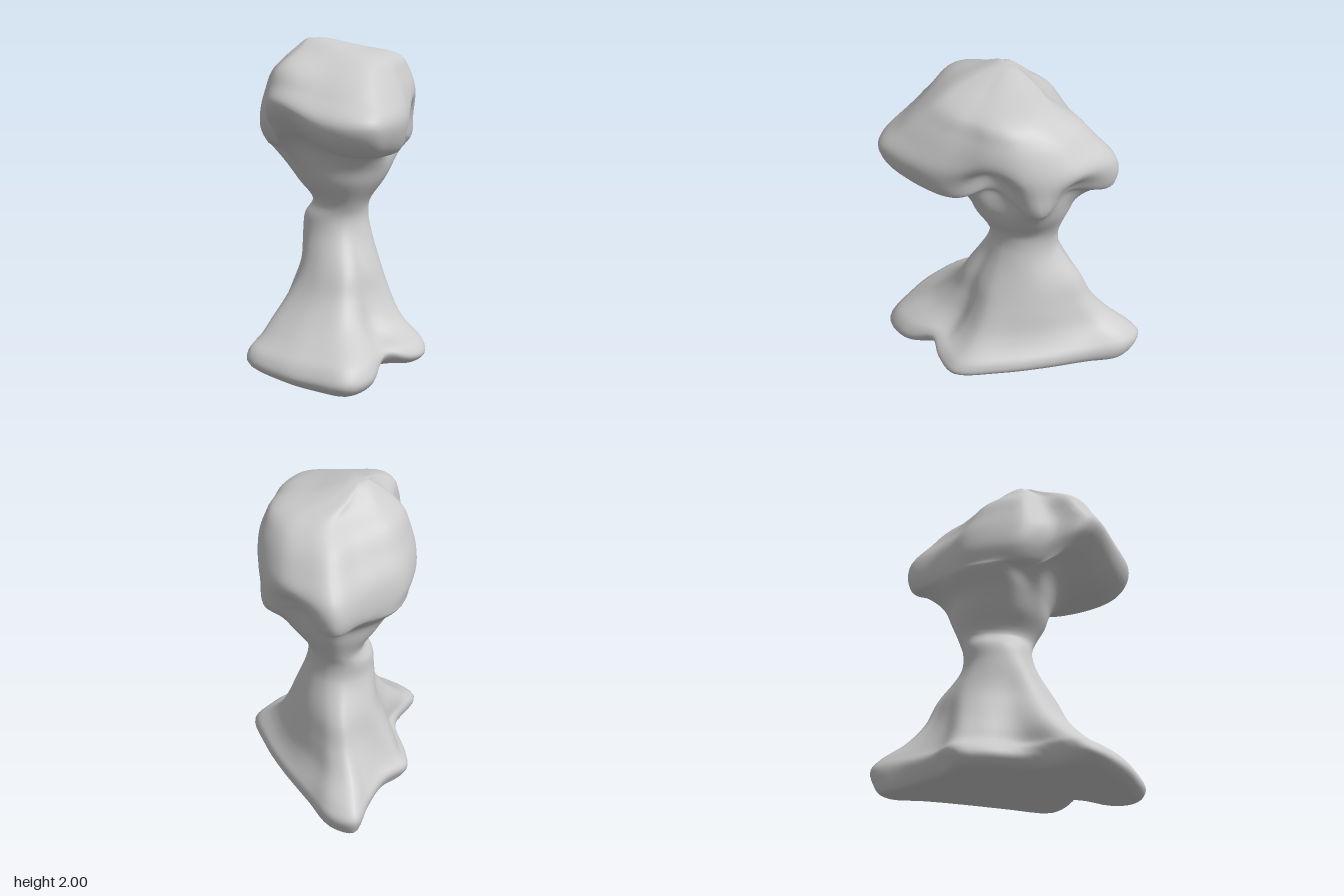
import * as THREE from 'three';

// Outlines as [x, z], starting at the front (+z) and turning towards +x
const FOOT = [
  [0.02, 0.80], [0.17, 0.70], [0.27, 0.48], [0.40, 0.42], [0.53, 0.30], [0.50, 0.02],
  [0.42, -0.25], [0.30, -0.53], [0.20, -0.74], [0.05, -0.81], [-0.07, -0.62], [-0.19, -0.46],
  [-0.35, -0.36], [-0.37, -0.21], [-0.36, 0.08], [-0.54, 0.36], [-0.36, 0.60], [-0.18, 0.72],
];
const CAP = [
  [0.02, 0.75], [0.18, 0.76], [0.28, 0.66], [0.38, 0.48], [0.44, 0.28], [0.51, 0.06],
  [0.52, -0.15], [0.43, -0.42], [0.31, -0.54], [0.15, -0.63], [-0.02, -0.49], [-0.15, -0.40],
  [-0.29, -0.31], [-0.39, -0.12], [-0.42, 0.02], [-0.36, 0.22], [-0.39, 0.41], [-0.20, 0.61],
];
// The neck is round, with its points in between the directions of the others
const NECK = FOOT.map(([x, z], i) => {
  const a = Math.atan2(x + CAP[i][0], z + CAP[i][1]);
  return [Math.sin(a), Math.cos(a)];
});

// Levels: height, x min, x max, z min, z max, outline (0 foot, 1 neck, 2 cap)
const LEVELS = [
  [0.00, 0.00, 0.02, -0.02, 0.02, 0],
  [0.00, -0.26, 0.26, -0.42, 0.42, 0],
  [0.00, -0.46, 0.46, -0.74, 0.75, 0],
  [0.07, -0.54, 0.53, -0.79, 0.81, 0],
  [0.15, -0.53, 0.52, -0.81, 0.77, 0],
  [0.22, -0.47, 0.47, -0.75, 0.67, 0],
  [0.32, -0.40, 0.40, -0.61, 0.51, 0.17],
  [0.45, -0.31, 0.35, -0.50, 0.38, 0.42],
  [0.60, -0.23, 0.30, -0.43, 0.30, 0.62],
  [0.80, -0.19, 0.24, -0.29, 0.17, 0.9],
  [0.91, -0.17, 0.22, -0.28, 0.14, 1],
  [1.00, -0.12, 0.23, -0.30, 0.16, 1],
  [1.13, -0.21, 0.32, -0.35, 0.23, 1.1],
  [1.24, -0.29, 0.40, -0.40, 0.27, 1.35],
  [1.33, -0.37, 0.47, -0.52, 0.35, 1.7],
  [1.365, -0.40, 0.49, -0.60, 0.61, 1.9],
  [1.45, -0.44, 0.51, -0.63, 0.73, 2],
  [1.57, -0.44, 0.52, -0.61, 0.77, 2],
  [1.69, -0.41, 0.50, -0.50, 0.65, 2],
  [1.80, -0.37, 0.46, -0.39, 0.53, 2],
  [1.89, -0.29, 0.40, -0.24, 0.41, 2],
  [1.95, -0.22, 0.16, -0.12, 0.27, 2],
  [1.995, -0.16, -0.03, 0.00, 0.12, 2],
  [2.00, -0.10, -0.08, 0.05, 0.07, 2],
];
const { mapLinear } = THREE.MathUtils;

// Blended outline fitted into the extents of a level
function section([y, x0, x1, z0, z1, mix]) {
  const fit = (outline, weight) => {
    const pts = outline.map(([x, z]) => new THREE.Vector3(x, y, z));
    const box = new THREE.Box3().setFromPoints(pts);
    return pts.map(p => new THREE.Vector3(
      mapLinear(p.x, box.min.x, box.max.x, x0, x1), y,
      mapLinear(p.z, box.min.z, box.max.z, z0, z1)).multiplyScalar(weight));
  };
  const [from, to, t] = mix <= 1 ? [FOOT, NECK, mix] : [NECK, CAP, mix - 1];
  const a = fit(from, 1 - t), b = fit(to, t);
  return a.map((p, i) => p.add(b[i]));
}

// Weathering: centre and radius of a soft dent or lobe, then its shift
const DENTS = [
  [0.29, 0.05, 0.47, 0.13, 0, 0.06, 0],          // arch between the front feet
  [0.46, 1.43, 0.07, 0.16, -0.13, 0.11, 0],      // hollow under the left rim
  [0.47, 1.38, -0.22, 0.10, 0.03, 0, 0],         // lobe on the left rim
  [0.36, 1.38, -0.43, 0.16, -0.07, 0.07, 0.09],  // scoop under the back rim
  [-0.30, 1.45, 0.42, 0.23, 0, 0.17, 0],         // raised front right underside
  [-0.27, 1.80, 0.38, 0.17, -0.03, 0.04, 0.03],  // front right shoulder
];

function weather(p) {
  const shift = new THREE.Vector3();
  for (const [x, y, z, size, dx, dy, dz] of DENTS) {
    const d2 = (p.x - x) ** 2 + (p.y - y) ** 2 + (p.z - z) ** 2;
    shift.addScaledVector(new THREE.Vector3(dx, dy, dz), Math.exp(-d2 / (size * size)));
  }
  // Arched underside
  shift.y += 0.07 * Math.max(0, 1 - (p.z / 0.78) ** 2) * Math.max(0, 1 - p.y / 0.25);
  p.add(shift);
}

// Smooth skin through all levels
function rockGeometry(rows = 115, cols = 90) {
  const rings = LEVELS.map(section);
  const columns = FOOT.map((_, i) => new THREE.CatmullRomCurve3(rings.map(r => r[i])));
  const pos = [], index = [];
  for (let v = 0; v <= rows; v++) {
    const ring = new THREE.CatmullRomCurve3(columns.map(c => c.getPoint(v / rows)), true);
    for (let u = 0; u < cols; u++) {
      const p = ring.getPoint(u / cols);
      weather(p);
      pos.push(p.x, p.y, p.z);
      if (v === rows) continue;
      const a = v * cols + u, b = v * cols + (u + 1) % cols;
      index.push(a, b, a + cols, b, b + cols, a + cols);
    }
  }
  // Close the tiny rings at the bottom and the top
  const top = rows * cols;
  for (let u = 1; u < cols - 1; u++) {
    index.push(0, u + 1, u, top, top + u, top + u + 1);
  }
  const geo = new THREE.BufferGeometry();
  geo.setAttribute('position', new THREE.Float32BufferAttribute(pos, 3));
  geo.setIndex(index);
  geo.computeVertexNormals();
  return geo;
}

export function createModel() {
  const group = new THREE.Group();
  group.name = 'balancedRock';
  const rock = new THREE.Mesh(rockGeometry(), new THREE.MeshStandardMaterial({ color: 0xcccccc }));
  rock.name = 'rockPillar';
  group.add(rock);
  return group;
}
